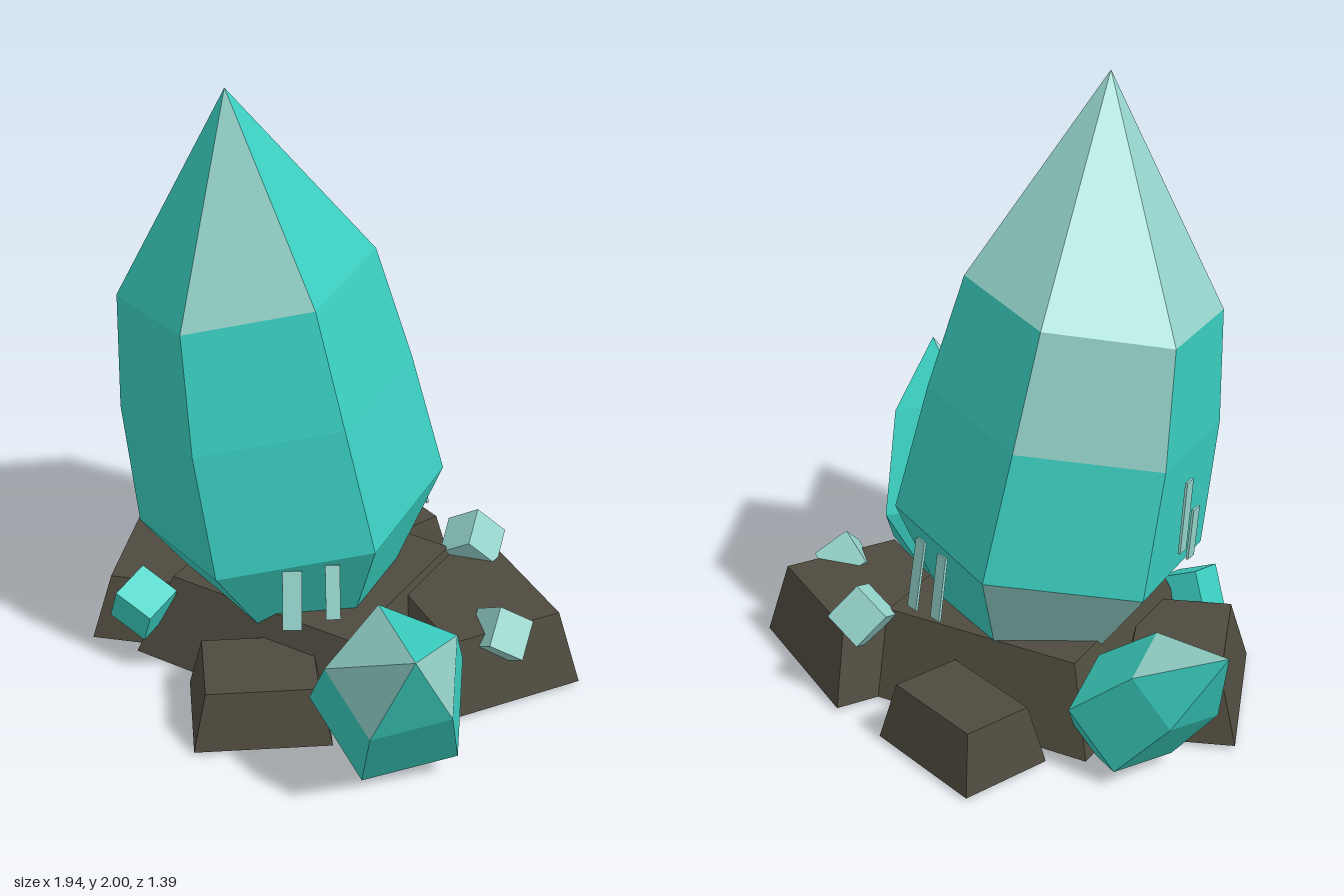
import * as THREE from 'three';

const V = (a) => new THREE.Vector3(...a);

const flat = (name, color, side = THREE.FrontSide) => {
  const m = new THREE.MeshStandardMaterial({ color, flatShading: true, side });
  m.name = name;
  return m;
};

// Faceted crystal: rings of [x, y, z, radius] square to the axis, closed by a tip.
// pale holds "band:side" keys of the frosted faces; the band after the last ring is the tip.
function crystal(name, { sides, axis, ref, rings, tip, pale }, materials) {
  const up = V(axis).normalize();
  const u = V(ref);
  u.addScaledVector(up, -u.dot(up)).normalize();
  const w = up.clone().cross(u);
  const point = ([x, y, z, r], i) => {
    const a = (i / sides) * Math.PI * 2;
    return new THREE.Vector3(x, y, z)
      .addScaledVector(u, r * Math.cos(a))
      .addScaledVector(w, r * Math.sin(a));
  };
  const groups = [[], []];
  const top = V(tip);
  const bottom = V(rings[0].slice(0, 3));
  for (let i = 0; i < sides; i++) {
    groups[0].push(bottom, point(rings[0], i + 1), point(rings[0], i));
    rings.forEach((ring, k) => {
      const out = groups[pale.includes(`${k}:${i}`) ? 1 : 0];
      const a = point(ring, i), b = point(ring, i + 1);
      if (k === rings.length - 1) {
        out.push(a, b, top);
      } else {
        const c = point(rings[k + 1], i + 1), d = point(rings[k + 1], i);
        out.push(a, b, c, a, c, d);
      }
    });
  }
  const geo = new THREE.BufferGeometry().setFromPoints(groups.flat());
  geo.addGroup(0, groups[0].length, 0);
  geo.addGroup(groups[0].length, groups[1].length, 1);
  geo.computeVertexNormals();
  const mesh = new THREE.Mesh(geo, materials);
  mesh.name = name;
  return mesh;
}

// Rock slab: a box whose top is narrower than its foot.
function rock(name, x, z, width, depth, height, turn, inset, material) {
  const geo = new THREE.BoxGeometry(width, height, depth).toNonIndexed();
  const p = geo.attributes.position;
  for (let i = 0; i < p.count; i++) {
    if (p.getY(i) > 0) {
      p.setX(i, p.getX(i) - Math.sign(p.getX(i)) * inset);
      p.setZ(i, p.getZ(i) - Math.sign(p.getZ(i)) * inset);
    }
  }
  geo.computeVertexNormals();
  const mesh = new THREE.Mesh(geo, material);
  mesh.position.set(x, 0.015 + height / 2, z);
  mesh.rotation.y = turn;
  mesh.name = name;
  return mesh;
}

// Thin glint plate running from a to b, facing the given direction.
function glint(name, a, b, facing, width, material) {
  const start = V(a), end = V(b);
  const y = start.clone().sub(end);
  const length = y.length();
  y.normalize();
  const x = y.clone().cross(V(facing)).normalize();
  const z = x.clone().cross(y);
  const mesh = new THREE.Mesh(new THREE.BoxGeometry(width, length, 0.008), material);
  mesh.quaternion.setFromRotationMatrix(new THREE.Matrix4().makeBasis(x, y, z));
  mesh.position.copy(start.add(end).multiplyScalar(0.5));
  mesh.name = name;
  return mesh;
}

export function createModel() {
  const model = new THREE.Group();
  model.name = 'crystalCluster';
  const teal = flat('teal crystal', 0x3bcfc1);
  const pale = flat('frosted crystal', 0x94d3ca);
  const stone = flat('dark stone', 0x4e4a3e);
  const skins = [teal, pale];

  // Crystals
  model.add(crystal('mainCrystal', {
    sides: 6, axis: [-0.135, 1, 0.118], ref: [0.39, 0.045, 0.09],
    rings: [
      [-0.04, 0.23, -0.01, 0.3],
      [-0.075, 0.545, 0.02, 0.495],
      [-0.13, 0.965, 0.075, 0.463],
      [-0.177, 1.342, 0.108, 0.403],
    ],
    tip: [-0.117, 2, 0.237],
    pale: ['3:1', '3:2', '3:3', '3:5', '2:2', '0:2'],
  }, skins));

  model.add(crystal('leftSideCrystal', {
    sides: 5, axis: [0.45, 0.74, 0.5], ref: [-0.14, 0.13, -0.07],
    rings: [
      [0.52, 0.09, 0.18, 0.135],
      [0.6, 0.2, 0.25, 0.255],
      [0.77, 0.49, 0.42, 0.21],
    ],
    tip: [0.97, 0.705, 0.56],
    pale: ['2:0', '2:1', '2:3'],
  }, skins));

  model.add(crystal('rightSideCrystal', {
    sides: 5, axis: [-0.71, 0.7, -0.05], ref: [0.1, 0.11, 0.03],
    rings: [
      [-0.5, 0.08, -0.21, 0.1],
      [-0.58, 0.16, -0.205, 0.195],
      [-0.775, 0.35, -0.19, 0.16],
    ],
    tip: [-0.97, 0.515, -0.2],
    pale: ['2:0', '2:3'],
  }, skins));

  // Rocks: x, z, width, depth, height, turn, inset
  const rocks = {
    centreRock: [-0.02, -0.02, 0.85, 0.8, 0.275, 0.23, 0.09],
    backRightRock: [-0.195, -0.515, 0.435, 0.31, 0.19, -0.14, 0.04],
    backLeftRock: [0.435, -0.29, 0.56, 0.5, 0.25, -0.34, 0.055],
    rightRock: [-0.49, 0.18, 0.55, 0.4, 0.215, -0.98, 0.055],
    frontRock: [0.18, 0.41, 0.43, 0.36, 0.19, 0.87, 0.04],
  };
  for (const [name, spec] of Object.entries(rocks)) model.add(rock(name, ...spec, stone));

  // Loose crystal cubes: position, size, rotation, material
  [
    [[0.27, 0.29, -0.48], 0.135, [0.5, 0.45, 0.45], pale],
    [[0.63, 0.235, -0.21], 0.13, [0.75, 0.3, 0.5], pale],
    [[-0.32, 0.21, 0.45], 0.14, [0.25, 0.15, -0.45], teal],
  ].forEach(([pos, size, rot, material], i) => {
    const cube = new THREE.Mesh(new THREE.BoxGeometry(size, size, size), material);
    cube.position.set(...pos);
    cube.rotation.set(...rot);
    cube.name = `crystalCube${i + 1}`;
    model.add(cube);
  });

  // Glint plates on the main crystal: top end, bottom end, facing, width
  [
    [[0.225, 0.53, 0.31], [0.26, 0.345, 0.345], [0.73, 0.1, 0.68], 0.06],
    [[0.31, 0.55, 0.22], [0.35, 0.385, 0.255], [0.73, 0.1, 0.68], 0.045],
    [[-0.04, 0.6, -0.43], [-0.05, 0.4, -0.475], [0.24, 0, -0.97], 0.05],
    [[0.08, 0.6, -0.4], [0.075, 0.38, -0.45], [0.24, 0, -0.97], 0.05],
    [[-0.522, 0.8, 0.16], [-0.517, 0.56, 0.14], [-0.97, 0, 0.24], 0.045],
    [[-0.495, 0.67, 0.23], [-0.49, 0.5, 0.215], [-0.97, 0, 0.24], 0.045],
  ].forEach((spec, i) => model.add(glint(`glint${i + 1}`, ...spec, pale)));

  return model;
}
